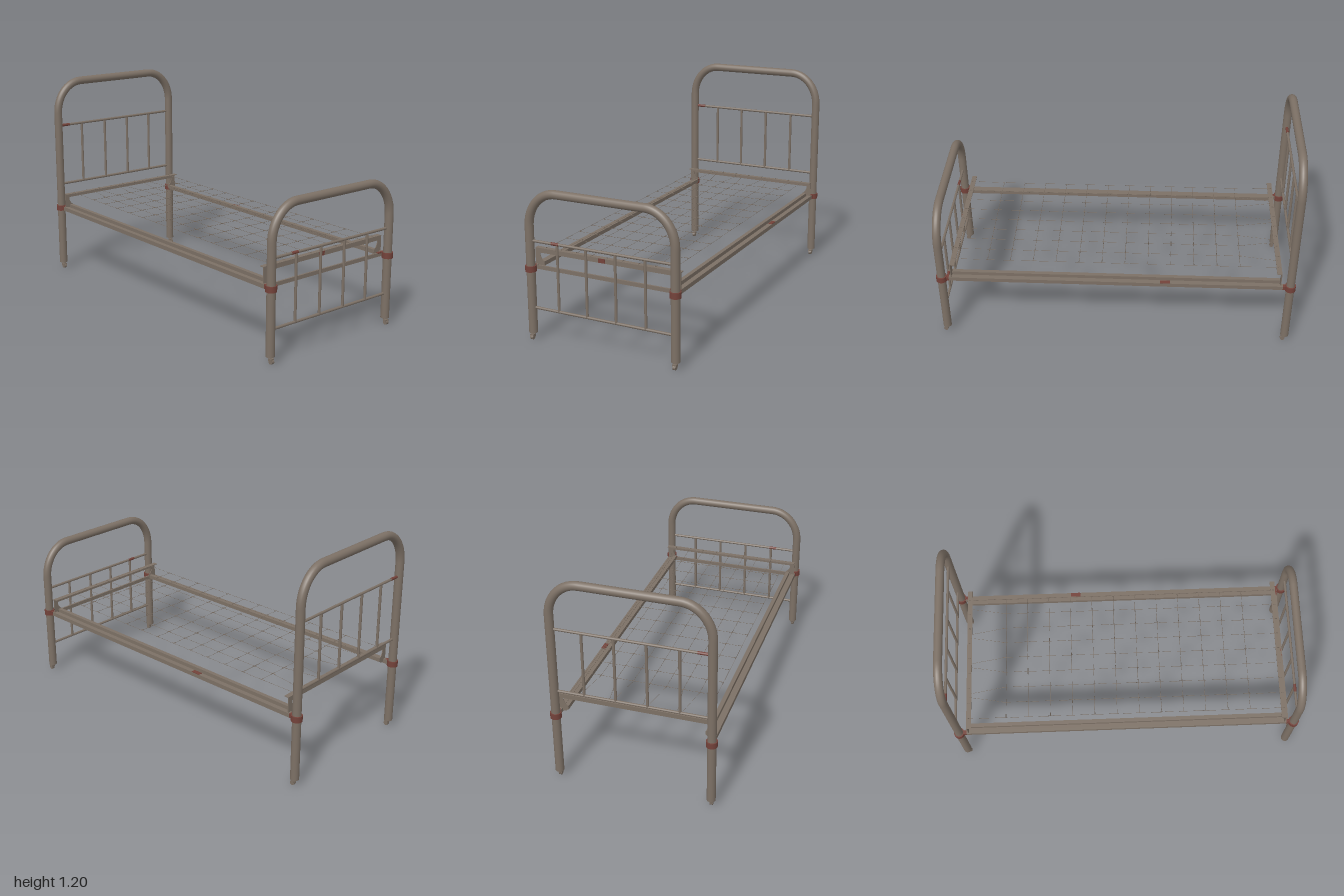
import * as THREE from 'three';
import { mergeGeometries } from 'three/addons/utils/BufferGeometryUtils.js';

const mat = (name, color) => {
  const m = new THREE.MeshStandardMaterial({ color });
  m.name = name;
  return m;
};

export function createModel() {
  const iron = mat('paintedIron', 0x7c7065);
  const rust = mat('rustRed', 0x73423a);
  const bed = new THREE.Group();
  bed.name = 'ironBed';

  const add = (parent, name, geo, material) => {
    const m = new THREE.Mesh(geo, material);
    m.name = name;
    parent.add(m);
    return m;
  };
  const V = (x, y, z) => new THREE.Vector3(x, y, z);

  // Cylinder between two points
  const rod = (a, b, r, sides = 10, open = false) => {
    const d = b.clone().sub(a);
    const g = new THREE.CylinderGeometry(r, r, d.length(), sides, 1, open);
    g.applyQuaternion(new THREE.Quaternion().setFromUnitVectors(V(0, 1, 0), d.normalize()));
    const c = a.clone().add(b).multiplyScalar(0.5);
    return g.translate(c.x, c.y, c.z);
  };
  // Box from minimum and maximum corners
  const block = (x0, x1, y0, y1, z0, z1) =>
    new THREE.BoxGeometry(x1 - x0, y1 - y0, z1 - z0)
      .translate((x0 + x1) / 2, (y0 + y1) / 2, (z0 + z1) / 2);

  const X = 0.421, Z = 0.97, R = 0.0235, BASE = 0.04;

  // Bent tube that forms two legs and the top bar of one bed end
  const hoop = (top, z) => {
    const cx = 0.165, cy = 0.185, k = 0.45;
    const path = new THREE.CurvePath();
    path.add(new THREE.LineCurve3(V(-X, BASE, z), V(-X, top - cy, z)));
    path.add(new THREE.CubicBezierCurve3(V(-X, top - cy, z), V(-X, top - cy * k, z),
      V(-X + cx * k, top, z), V(-X + cx, top, z)));
    path.add(new THREE.LineCurve3(V(-X + cx, top, z), V(X - cx, top, z)));
    path.add(new THREE.CubicBezierCurve3(V(X - cx, top, z), V(X - cx * k, top, z),
      V(X, top - cy * k, z), V(X, top - cy, z)));
    path.add(new THREE.LineCurve3(V(X, top - cy, z), V(X, BASE, z)));
    return new THREE.TubeGeometry(path, 140, R, 18);
  };

  // Curved gusset plate that carries the spring bar beside a post
  const gussetShape = new THREE.Shape();
  gussetShape.moveTo(0.425, 0.39);
  gussetShape.lineTo(0.425, 0.47);
  gussetShape.lineTo(0.398, 0.47);
  gussetShape.lineTo(0.397, 0.455);
  gussetShape.quadraticCurveTo(0.39, 0.43, 0.373, 0.422);
  gussetShape.lineTo(0.371, 0.405);
  gussetShape.lineTo(0.385, 0.39);

  const bedEnd = (name, z, top, lowRail, highRail) => {
    const end = new THREE.Group();
    end.name = name;
    bed.add(end);
    const s = Math.sign(z);
    add(end, 'hoopTube', hoop(top, z), iron);
    for (const y of [lowRail, highRail])
      add(end, 'crossRail', rod(V(-X, y, z), V(X, y, z), 0.0075), iron);
    for (const x of [-0.255, -0.085, 0.085, 0.255])
      add(end, 'spindle', rod(V(x, lowRail, z), V(x, highRail, z), 0.0075), iron);

    for (const side of [-1, 1]) {
      // Leg foot: closed end, stem, fork and small wheel
      const x = X * side;
      add(end, 'legCap', rod(V(x, BASE - 0.002, z), V(x, BASE + 0.004, z), R, 18), iron);
      add(end, 'casterStem', rod(V(x, 0.018, z + 0.004), V(x, BASE, z), 0.009), iron);
      add(end, 'casterFork', block(x - 0.011, x + 0.011, 0.016, 0.03, z - 0.002, z + 0.018), iron);
      add(end, 'casterWheel', rod(V(x - 0.008, 0.013, z + 0.01), V(x + 0.008, 0.013, z + 0.01), 0.013, 14), iron);
      // Clamp around the post, with its lug toward the side rail
      add(end, 'clamp', rod(V(x, 0.379, z), V(x, 0.411, z), 0.03, 18), rust);
      add(end, 'clampLug', block(x - 0.01, x + 0.01, 0.384, 0.407,
        Math.min(z, z - s * 0.042), Math.max(z, z - s * 0.042)), rust);
      const g = new THREE.ExtrudeGeometry(gussetShape, { depth: 0.004, bevelEnabled: false, curveSegments: 6 });
      const gusset = add(end, 'gusset', g, iron);
      gusset.position.z = s * 0.916 - side * 0.002;
      if (side < 0) gusset.rotation.y = Math.PI;
    }

    // Angle iron bar that holds the springs
    add(end, 'springBarFace', block(-0.425, 0.425, 0.467, 0.492, s * 0.916 - 0.002, s * 0.916 + 0.002), iron);
    add(end, 'springBarFlange', block(-0.425, 0.425, 0.488, 0.492, s * 0.904 - 0.014, s * 0.904 + 0.014), iron);
  };
  bedEnd('headboard', -Z, 1.176, 0.545, 0.912);
  bedEnd('footboard', Z, 0.811, 0.18, 0.547);
  add(bed, 'footBrace', block(-X, X, 0.384, 0.405, 0.93, 0.94), iron);

  // Side rails: outer bar, inner raised bar and the web joining them
  for (const side of [-1, 1]) {
    const rail = new THREE.Group();
    rail.name = side > 0 ? 'leftSideRail' : 'rightSideRail';
    bed.add(rail);
    const c = (a, b) => (side > 0 ? [a, b] : [-b, -a]);
    add(rail, 'outerBar', block(...c(0.405, 0.43), 0.383, 0.406, -0.95, 0.95), iron);
    add(rail, 'innerBar', block(...c(0.373, 0.395), 0.398, 0.42, -0.913, 0.913), iron);
    add(rail, 'web', block(...c(0.39, 0.408), 0.39, 0.4, -0.913, 0.913), iron);
  }

  // Rust patches
  add(bed, 'railPatch', block(0.406, 0.43, 0.405, 0.408, -0.305, -0.25), rust);
  add(bed, 'footBracePatch', block(0.375, 0.42, 0.4, 0.407, 0.929, 0.941), rust);
  add(bed, 'springBarPatch', block(-0.045, -0.005, 0.468, 0.491, 0.917, 0.9195), rust);
  add(bed, 'crossRailPatch', rod(V(-0.29, 0.547, Z), V(-0.245, 0.547, Z), 0.0082), rust);
  add(bed, 'headRailPatch', rod(V(-0.4, 0.912, -Z), V(-0.345, 0.912, -Z), 0.0082), rust);

  // Spring net: fine wires on a grid with short thicker links at the crossings
  const links = [];
  const y = 0.49, cols = 9, rows = 12;
  const colX = (i) => -0.365 + i * 0.0915;
  const rowZ = (j) => -0.69 + j * 0.1275;
  const link = (a, b, r = 0.0009) => links.push(rod(a, b, r, 4, true));
  for (let i = 0; i < cols; i++) {
    const x = colX(i), edge = i === 0 || i === cols - 1;
    for (let j = 0; j < rows; j++) {
      const z = rowZ(j);
      if (i < cols - 1) link(V(x, y, z), V(colX(i + 1), y, z));
      if (j < rows - 1) link(V(x, y, z), V(x, y, rowZ(j + 1)));
      link(V(x - (i ? 0.02 : 0), y + 0.001, z), V(x + (i < cols - 1 ? 0.02 : 0.001), y + 0.001, z), 0.0016);
      link(V(x, y + 0.001, z - 0.02), V(x, y + 0.001, z + 0.008), 0.0016);
    }
    // Straight ties at the foot, splayed ties at the head
    const lean = edge ? 0 : i % 2 ? 0.035 : -0.035;
    link(V(x, y, rowZ(rows - 1)), V(x, y + 0.003, 0.9));
    link(V(x, y, rowZ(0)), V(x + lean, y + 0.003, -0.9));
    // Hooks over the spring bars
    for (const z of [-0.905, 0.905])
      links.push(new THREE.TorusGeometry(0.006, 0.002, 4, 8).rotateY(Math.PI / 2).translate(x, 0.491, z));
  }
  add(bed, 'springNet', mergeGeometries(links), iron);

  return bed;
}
